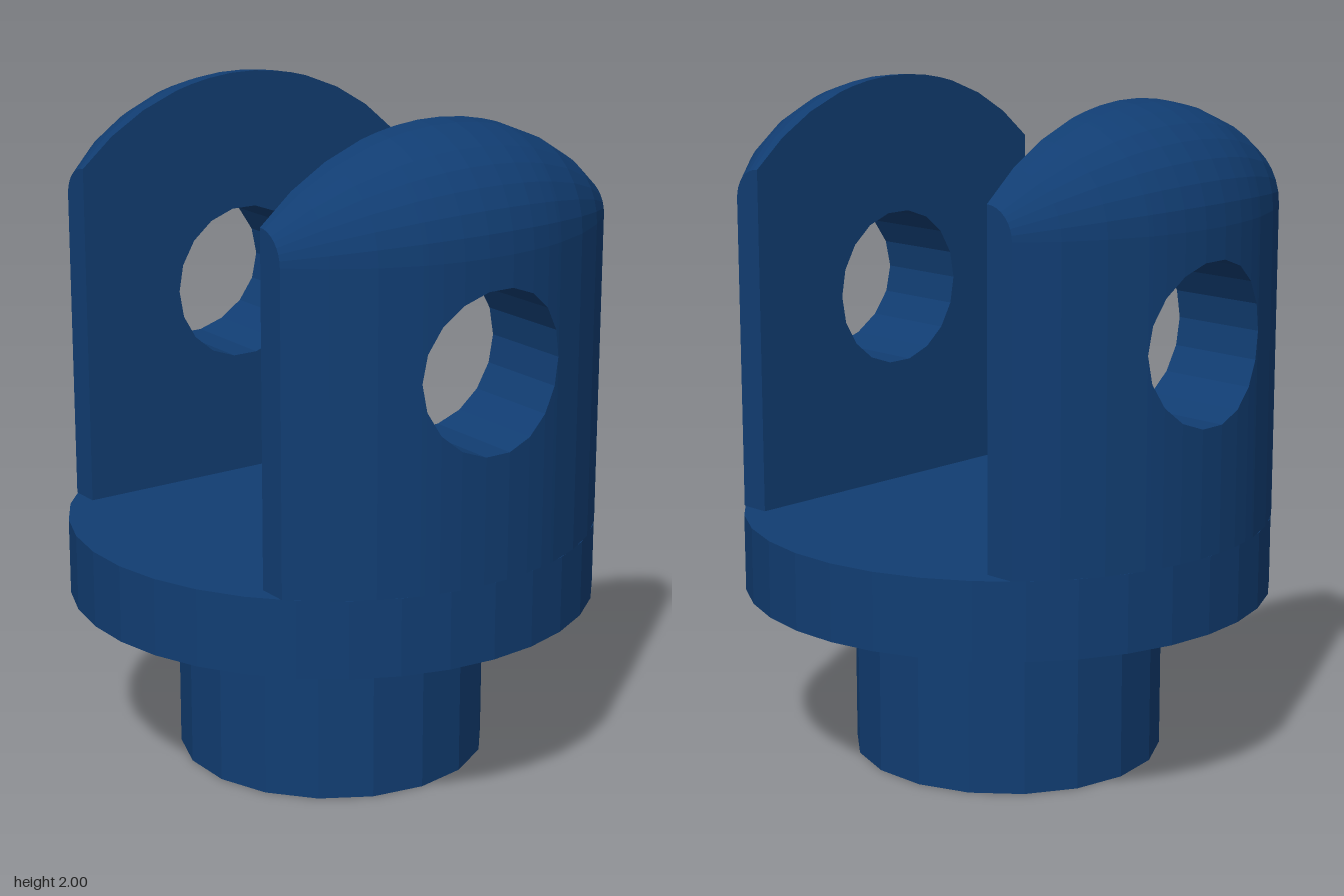
import * as THREE from 'three';

const R = 0.79;         // flange and cheek outer radius
const INNER = 0.465;    // inner cheek plane
const HALF = 0.56;      // half width of a cheek
const FLOOR = 0.745;    // slot floor
const SHOULDER = 1.675; // where the rounded top begins
const HOLE_Y = 1.35, HOLE_R = 0.236;
const ARC = 8;

// One cheek on the +x side, built from columns across z
function cheekGeometry() {
  const pos = [];
  const quad = (a, b, c, d) => pos.push(...a, ...b, ...c, ...a, ...c, ...d);
  const depth = (z) => Math.sqrt(R * R - z * z) - INNER;

  const columns = [-HALF, -0.46, -0.35].map((z) => ({ z, h: 0 }));
  for (let k = 0; k <= 9; k++) {
    const t = Math.PI * (1 - k / 9);
    columns.push({ z: HOLE_R * Math.cos(t), h: HOLE_R * Math.sin(t) });
  }
  for (const z of [0.35, 0.46, HALF]) columns.push({ z, h: 0 });

  const arcPoint = (z, i) => {
    const a = (i / ARC) * Math.PI / 2, w = depth(z);
    return [INNER + w * Math.cos(a), SHOULDER + w * Math.sin(a), z];
  };

  for (let c = 0; c < columns.length - 1; c++) {
    const p = columns[c], q = columns[c + 1];
    const out = (s, y) => [INNER + depth(s.z), y, s.z];
    const inn = (s, y) => [INNER, y, s.z];
    const low = (s) => HOLE_Y - s.h, high = (s) => HOLE_Y + s.h;
    const top = (s) => SHOULDER + depth(s.z);
    // outer wall below and above the hole
    quad(out(q, FLOOR), out(p, FLOOR), out(p, low(p)), out(q, low(q)));
    quad(out(q, high(q)), out(p, high(p)), out(p, SHOULDER), out(q, SHOULDER));
    // inner wall below and above the hole
    quad(inn(p, FLOOR), inn(q, FLOOR), inn(q, low(q)), inn(p, low(p)));
    quad(inn(p, high(p)), inn(q, high(q)), inn(q, top(q)), inn(p, top(p)));
    // bore
    if (p.h + q.h > 0.01) {
      quad(inn(p, low(p)), inn(q, low(q)), out(q, low(q)), out(p, low(p)));
      quad(out(p, high(p)), out(q, high(q)), inn(q, high(q)), inn(p, high(p)));
    }
    // rounded top
    for (let i = 0; i < ARC; i++) {
      quad(arcPoint(q.z, i), arcPoint(p.z, i), arcPoint(p.z, i + 1), arcPoint(q.z, i + 1));
    }
  }

  // narrow end faces
  for (const z of [HALF, -HALF]) {
    const rim = [[INNER + depth(z), FLOOR, z]];
    for (let i = 0; i <= ARC; i++) rim.push(arcPoint(z, i));
    for (let i = 0; i < rim.length - 1; i++) {
      const pair = z > 0 ? [rim[i], rim[i + 1]] : [rim[i + 1], rim[i]];
      pos.push(INNER, FLOOR, z, ...pair[0], ...pair[1]);
    }
  }

  const g = new THREE.BufferGeometry();
  g.setAttribute('position', new THREE.Float32BufferAttribute(pos, 3));
  g.computeVertexNormals();
  return g;
}

export function createModel() {
  const group = new THREE.Group();
  group.name = 'clevis';
  const navy = new THREE.MeshStandardMaterial({ color: 0x113d72, flatShading: true });
  navy.name = 'navy blue';

  const add = (name, geometry) => {
    const mesh = new THREE.Mesh(geometry, navy);
    mesh.name = name;
    group.add(mesh);
    return mesh;
  };
  // Upright cylinder with a vertex on the x axis
  const disc = (name, r, y0, y1, sides) => {
    const mesh = add(name, new THREE.CylinderGeometry(r, r, y1 - y0, sides));
    mesh.position.y = (y0 + y1) / 2;
    mesh.rotation.y = Math.PI / sides;
  };

  disc('stem', 0.465, 0, 0.515, 18);
  disc('flange', R, 0.515, FLOOR, 34);

  const cheek = cheekGeometry();
  add('leftCheek', cheek);
  add('rightCheek', cheek).rotation.y = Math.PI;
  return group;
}
